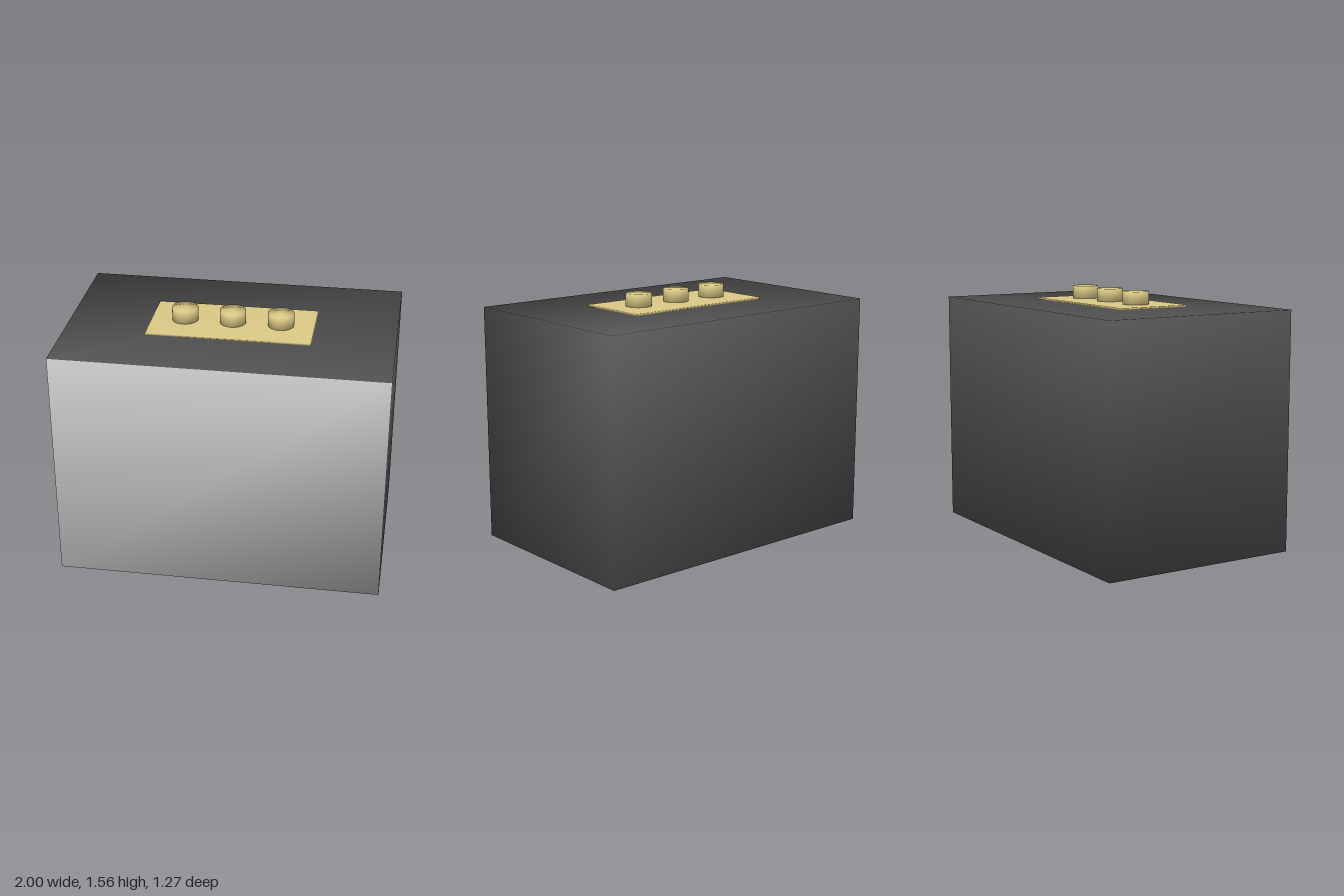
import * as THREE from 'three';
import { mergeVertices } from 'three/addons/utils/BufferGeometryUtils.js';

const material = (name, color) => {
  const m = new THREE.MeshStandardMaterial({ color });
  m.name = name;
  return m;
};

// Welds shared corners so the shading runs smoothly over the edges
function weld(geometry) {
  geometry.deleteAttribute('uv');
  geometry.deleteAttribute('normal');
  const welded = mergeVertices(geometry, 1e-4);
  welded.computeVertexNormals();
  return welded;
}

export function createModel() {
  const charcoal = material('charcoal', 0x545454);
  const silver = material('silver', 0xc2c2c2);
  const brass = material('brass', 0xdcca86);
  const group = new THREE.Group();

  function add(name, geometry, mat, x, y, z) {
    const mesh = new THREE.Mesh(weld(geometry), mat);
    mesh.name = name;
    mesh.position.set(x, y, z);
    group.add(mesh);
  }

  // Cabinet: dark on every side except the silver front (+z is the fifth face)
  const faces = [charcoal, charcoal, charcoal, charcoal, silver, charcoal];
  add('cabinet', new THREE.BoxGeometry(2, 1.47, 1.27), faces, 0, 0.735, 0);

  // Thin plate on top
  add('topPlate', new THREE.BoxGeometry(1, 0.012, 0.47), brass, 0, 1.476, 0);

  // Row of three round knobs
  for (const x of [-0.295, 0, 0.295]) {
    add('knob', new THREE.CylinderGeometry(0.08, 0.08, 0.085, 32), brass, x, 1.5195, 0);
  }
  return group;
}
